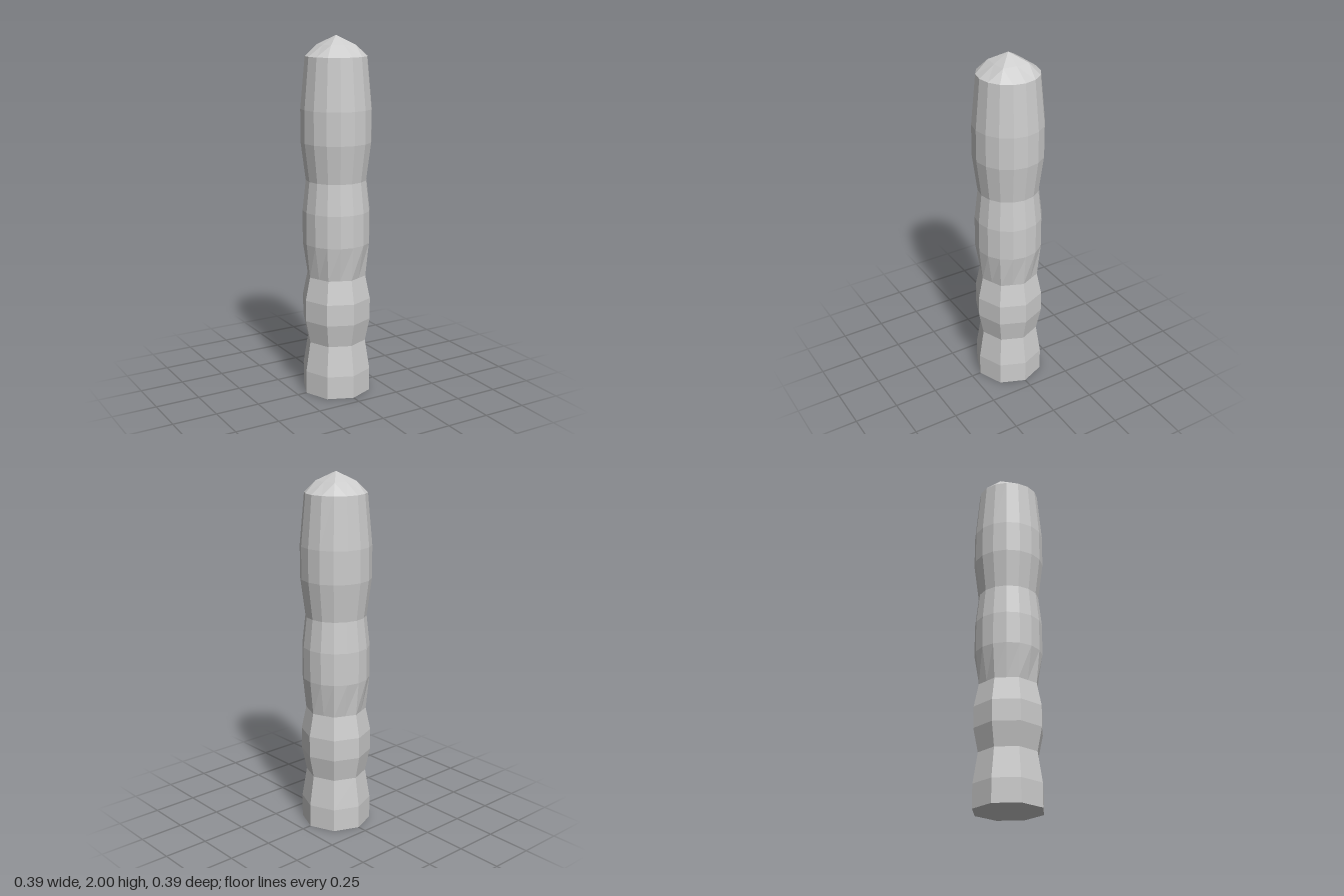
import * as THREE from 'three';

const material = new THREE.MeshStandardMaterial({ color: 0xcccccc, flatShading: true });

function meshFrom(name, points, indices) {
  const geometry = new THREE.BufferGeometry();
  geometry.setAttribute('position', new THREE.Float32BufferAttribute(points.flat(), 3));
  geometry.setIndex(indices);
  const flat = geometry.toNonIndexed();
  flat.computeVertexNormals();
  const mesh = new THREE.Mesh(flat, material);
  mesh.name = name;
  return mesh;
}

// One ring of corners; pinch pulls every second corner onto the chord between its neighbours
function ring(sides, r, y, pinch = false) {
  return Array.from({ length: sides }, (_, i) => {
    const a = (i / sides) * Math.PI * 2;
    const k = pinch && i % 2 ? r * Math.cos((Math.PI * 2) / sides) : r;
    return [Math.sin(a) * k, y, Math.cos(a) * k];
  });
}

// Stack of rings joined by faceted walls
function stack(name, sides, profile, closeBottom) {
  const points = [], indices = [];
  profile.forEach(([r, y, pinch]) => points.push(...ring(sides, r, y, pinch)));
  for (let j = 0; j < profile.length - 1; j++) {
    for (let i = 0; i < sides; i++) {
      const a = j * sides + i, b = j * sides + ((i + 1) % sides);
      indices.push(a, b, b + sides, a, b + sides, a + sides);
    }
  }
  if (closeBottom) for (let i = 1; i < sides - 1; i++) indices.push(0, i + 1, i);
  return meshFrom(name, points, indices);
}

// Pointed cap: apex, a squarish middle ring of 8 and the 16-sided rim
function cap(rimRadius, rimY) {
  const points = [[0, 2, 0]], indices = [];
  for (let i = 0; i < 8; i++) {
    const a = (i / 8) * Math.PI * 2, r = i % 2 ? 0.107 : 0.083;
    points.push([Math.sin(a) * r, 1.95, Math.cos(a) * r]);
  }
  points.push(...ring(16, rimRadius, rimY));
  const mid = i => 1 + ((i + 8) % 8), rim = i => 9 + ((i + 16) % 16);
  for (let i = 0; i < 8; i++) indices.push(0, mid(i), mid(i + 1));
  for (let q = 0; q < 4; q++) {
    const c = 2 * q + 1, k = 4 * q + 2;
    // corner quad, split along its diagonal
    indices.push(mid(c), rim(k - 1), rim(k), mid(c), rim(k), rim(k + 1));
    // quads on either side of the corner
    indices.push(mid(c - 1), rim(k - 2), rim(k - 1), mid(c - 1), rim(k - 1), mid(c));
    indices.push(mid(c), rim(k + 1), mid(c + 1), mid(c + 1), rim(k + 1), rim(k + 2));
  }
  return meshFrom('pointedCap', points, indices);
}

export function createModel() {
  const model = new THREE.Group();
  model.name = 'segmentedPost';

  // Eight-sided lower segments
  model.add(stack('lowerSegments', 8, [
    [0.195, 0], [0.195, 0.13], [0.168, 0.3], [0.195, 0.43], [0.195, 0.55], [0.168, 0.68],
  ], true));

  // Sixteen-sided upper segments, starting on the octagon below
  model.add(stack('upperSegments', 16, [
    [0.168, 0.68, true], [0.187, 0.87], [0.187, 1.05], [0.168, 1.22],
    [0.195, 1.43], [0.195, 1.61], [0.169, 1.89],
  ], false));

  model.add(cap(0.169, 1.89));
  return model;
}
